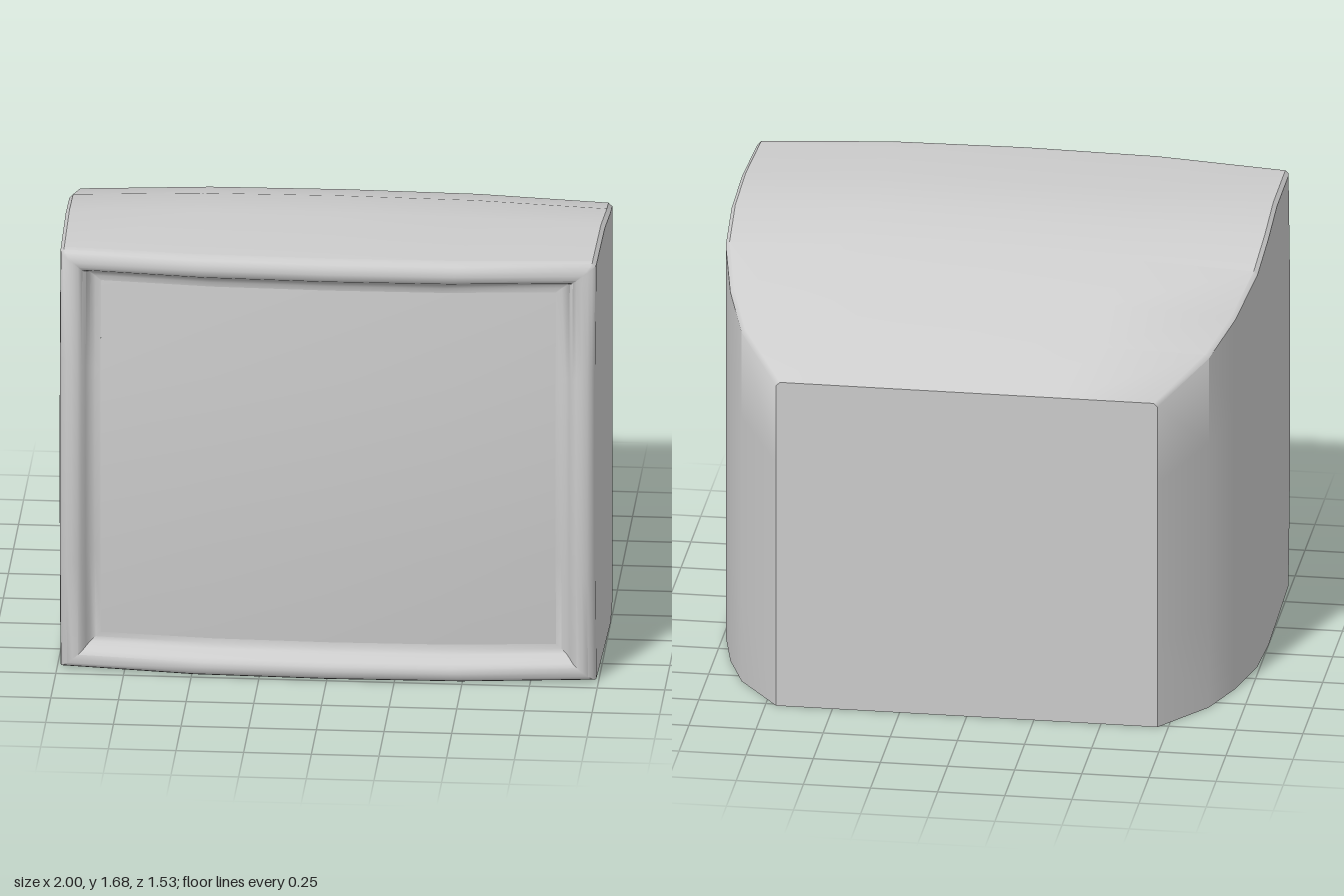
import * as THREE from 'three';
import { toCreasedNormals } from 'three/addons/utils/BufferGeometryUtils.js';

const STEPS = [-1, -0.5, 0, 0.5, 1];
const bulge = (t) => 1 - Math.pow(Math.min(1, Math.abs(t)), 2.5);
const WIDTH = 0.99, TOP = 1.65, MID = TOP / 2;

// height of the domed front face at a point
const frontZ = (x, y) => 0.695 + 0.067 * bulge(x / WIDTH) + 0.045 * bulge((y - MID) / MID);

// closed rectangular loop, counterclockwise from the front, with chamfered top corners
function makeLoop(w, y0, y1, crown, chamfer, zAt) {
  const pts = [];
  const add = (x, y) => pts.push([x, y, zAt(x, y)]);
  const yMid = (y0 + y1) / 2, h = (y1 - y0) / 2;
  const sideY = (t) => (t === 1 ? y1 - chamfer : yMid + t * h);
  const topX = (t) => t * (Math.abs(t) === 1 ? w - chamfer : w);
  STEPS.forEach((t) => add(t * w, y0));
  STEPS.slice(1).forEach((t) => add(w, sideY(t)));
  STEPS.forEach((t) => add(-topX(t), y1 + crown * bulge(t)));
  STEPS.slice(1).reverse().forEach((t) => add(-w, sideY(t)));
  return pts;
}

// skin between successive loops, with an optional cap on the first one
function skin(loops, capped) {
  const pos = [];
  const n = loops[0].length;
  const tri = (a, b, c) => pos.push(...a, ...b, ...c);
  for (let i = 0; i < loops.length - 1; i++) {
    for (let j = 0; j < n; j++) {
      const k = (j + 1) % n;
      const a = loops[i][j], b = loops[i][k], c = loops[i + 1][k], d = loops[i + 1][j];
      tri(a, b, c);
      tri(a, c, d);
    }
  }
  if (capped) {
    const first = loops[0];
    const centre = [0, first[6][1], first[0][2]];
    for (let j = 0; j < n; j++) tri(centre, first[(j + 1) % n], first[j]);
  }
  const g = new THREE.BufferGeometry();
  g.setAttribute('position', new THREE.Float32BufferAttribute(pos, 3));
  return g;
}

export function createModel() {
  const group = new THREE.Group();
  const material = new THREE.MeshStandardMaterial({ color: 0xcccccc });
  const addPart = (name, geometry, crease) => {
    const mesh = new THREE.Mesh(toCreasedNormals(geometry, crease), material);
    mesh.name = name;
    group.add(mesh);
  };

  // bezel rings: inset from the outer edge, depth below the domed front
  const rings = [
    [0, -0.045], [0.003, -0.024], [0.011, -0.009], [0.024, -0.001], [0.042, 0],
    [0.06, -0.006], [0.073, -0.02], [0.084, -0.045], [0.096, -0.068],
    [0.112, -0.08], [0.13, -0.085],
  ].map(([d, dz], i) =>
    makeLoop(WIDTH - d * 1.15, d, TOP - d, 0.007 * Math.max(0, 1 - d / 0.06),
      Math.max(0.002, 0.014 - i * 0.003), (x, y) => frontZ(x, y) + dz));

  // housing stations: z, half width, top height at the sides, top height in the middle
  const stations = [
    [-0.765, 0.71, 1.29, 1.29],
    [-0.55, 0.87, 1.405, 1.415],
    [-0.36, 0.94, 1.485, 1.505],
    [-0.135, 0.99, 1.575, 1.6],
    [0.08, 1, 1.635, 1.658],
    [0.32, 0.996, 1.665, 1.68],
  ].map(([z, w, ySide, yMid]) => makeLoop(w, 0, ySide, yMid - ySide, 0.014, () => z));
  addPart('housing', skin([...stations, rings[0]], true), 0.7);
  addPart('bezel', skin(rings, false), 0.7);

  // domed screen filling the bezel
  const sw = WIDTH - 0.13 * 1.15, sh = MID - 0.13;
  const screen = new THREE.PlaneGeometry(2 * sw, 2 * sh, 4, 4);
  const p = screen.attributes.position;
  for (let i = 0; i < p.count; i++) {
    const x = p.getX(i), y = p.getY(i) + MID;
    p.setXYZ(i, x, y, frontZ(x, y) - 0.085);
  }
  addPart('screen', screen, 0.7);

  return group;
}
